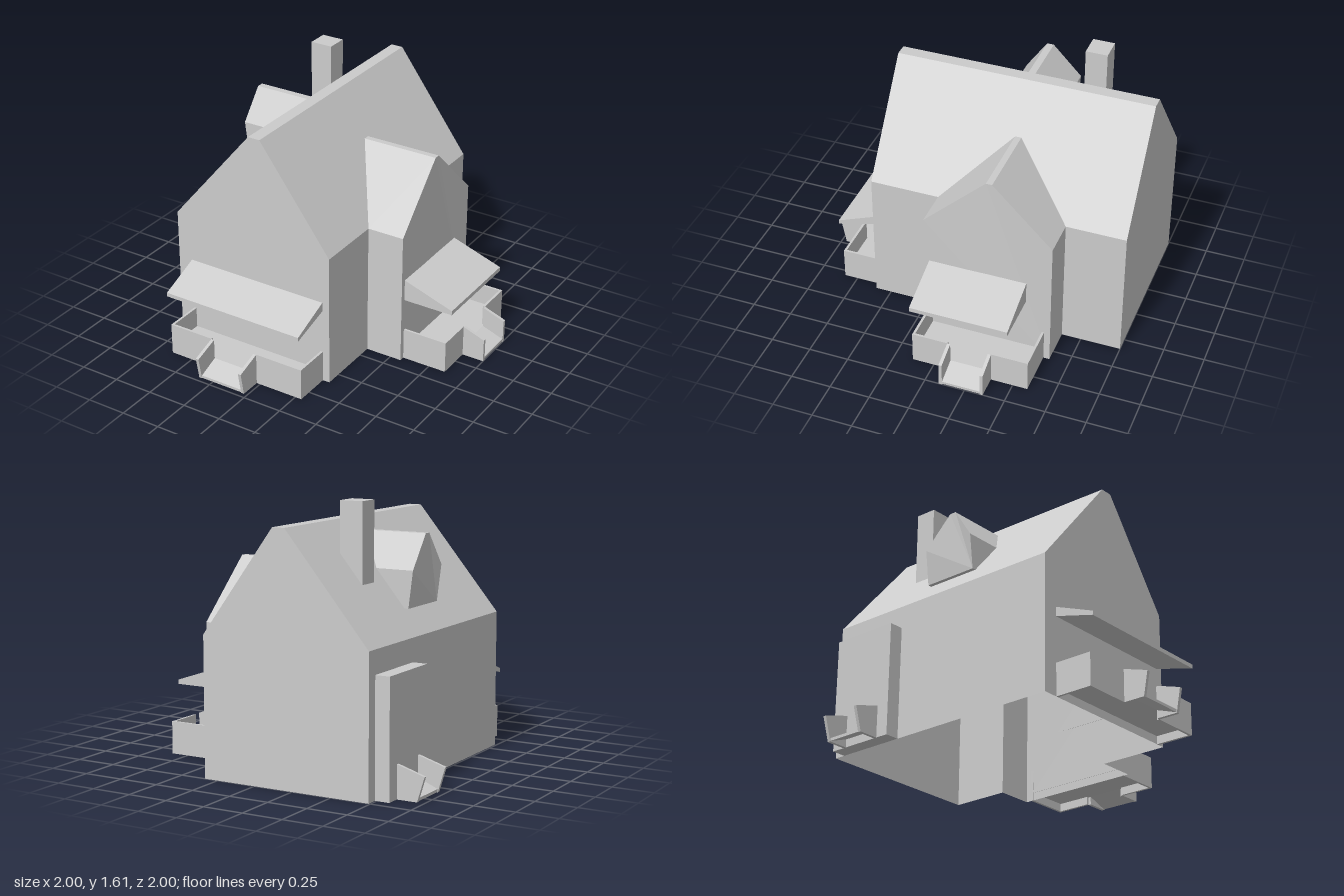
import * as THREE from 'three';

const material = new THREE.MeshStandardMaterial({ color: 0xcccccc, flatShading: true, side: THREE.DoubleSide });

function add(parent, name, geometry) {
  const mesh = new THREE.Mesh(geometry, material);
  mesh.name = name;
  parent.add(mesh);
  return mesh;
}

// Convex flat faces, each a counter-clockwise list of [x, y, z] corners
function faces(polygons) {
  const positions = [];
  for (const p of polygons)
    for (let i = 1; i < p.length - 1; i++) positions.push(...p[0], ...p[i], ...p[i + 1]);
  const geometry = new THREE.BufferGeometry();
  geometry.setAttribute('position', new THREE.Float32BufferAttribute(positions, 3));
  geometry.computeVertexNormals();
  return geometry;
}

// Gabled shell along z; its ends may lean or follow a roof (back and front are functions of y)
function shell(profile, back, front, { openWall = -1, backCap = false, closed = false } = {}) {
  const b = profile.map(([x, y]) => [x, y, back(y)]);
  const f = profile.map(([x, y]) => [x, y, front(y)]);
  const polygons = [f];
  if (backCap) polygons.push([...b].reverse());
  const count = profile.length - (closed ? 0 : 1);
  for (let i = 0; i < count; i++) {
    const j = (i + 1) % profile.length;
    if (i !== openWall) polygons.push([f[i], b[i], b[j], f[j]]);
  }
  return faces(polygons);
}

// Box given by its limits
function box(x0, x1, y0, y1, z0, z1) {
  return new THREE.BoxGeometry(x1 - x0, y1 - y0, z1 - z0)
    .translate((x0 + x1) / 2, (y0 + y1) / 2, (z0 + z1) / 2);
}

// Side profile of [z, y] points, extended from x0 to x1
function slab(profile, x0, x1) {
  const shape = new THREE.Shape(profile.map(([z, y]) => new THREE.Vector2(z, y)));
  return new THREE.ExtrudeGeometry(shape, { depth: x1 - x0, bevelEnabled: false })
    .rotateY(-Math.PI / 2).translate(x1, 0, 0);
}

// Entry ramp between two sloping cheeks, leading out along +z
function addEntry(parent, x0, x1, z0, tipTop, tipBottom, rampEnd) {
  const t = 0.02;
  const cheek = [[z0, 0], [tipBottom, 0], [tipTop, 0.147], [z0, 0.198]];
  add(parent, 'entryCheek', slab(cheek, x0, x0 + t));
  add(parent, 'entryCheek', slab(cheek, x1 - t, x1));
  add(parent, 'entryRamp', slab([[z0, 0.05], [rampEnd, 0.003], [rampEnd, 0.02], [z0, 0.07]], x0 + t, x1 - t));
}

// Low-walled porch with a gap for the entry
function addPorch(parent, x0, x1, z0, z1, gap0, gap1) {
  const t = 0.015, h = 0.2;
  add(parent, 'porchFloor', box(x0 + t, x1 - t, 0.05, 0.07, z0, z1));
  add(parent, 'porchSideWall', box(x0, x0 + t, 0, h, z0, z1));
  add(parent, 'porchSideWall', box(x1 - t, x1, 0, h, z0, z1));
  add(parent, 'porchFrontWall', box(x0 + t, gap0, 0, h, z1 - t, z1));
  add(parent, 'porchFrontWall', box(gap1, x1 - t, 0, h, z1 - t, z1));
}

export function createModel() {
  const model = new THREE.Group();
  model.name = 'house';

  // Groups turned so that their local +z points to the model's left or right
  const leftSide = new THREE.Group();
  leftSide.name = 'leftSide';
  leftSide.rotation.y = Math.PI / 2;
  const rightSide = new THREE.Group();
  rightSide.name = 'rightSide';
  rightSide.rotation.y = -Math.PI / 2;
  model.add(leftSide, rightSide);

  // Main house, open underneath and open into the wing
  const main = [[0.337, 0], [0.337, 0.84], [-0.13, 1.475], [-0.208, 1.475], [-0.74, 0.84], [-0.74, 0]];
  add(model, 'mainHouse', shell(main, () => -1, () => 0.6, { openWall: 0, backCap: true }));
  const wall = (z0, z1) => [[0.337, 0, z1], [0.337, 0, z0], [0.337, 0.84, z0], [0.337, 0.84, z1]];
  add(model, 'mainLeftWalls', faces([wall(-1, -0.63), wall(0.168, 0.6)]));

  // Cross-gabled wing running into the main roof
  const wing = [[0.63, 0], [0.63, 0.84], [0.257, 1.202], [0.219, 1.202], [-0.168, 0.84], [-0.168, 0]];
  add(leftSide, 'wing', shell(wing,
    y => 0.337 - Math.max(0, y - 0.84) * 0.735,
    y => 0.572 - Math.max(0, y - 0.84) * 0.03));

  // Dormer on the other roof slope
  const dormer = [[-0.027, 0.98], [-0.027, 1.2], [-0.16, 1.395], [-0.203, 1.395], [-0.38, 1.2], [-0.38, 0.98]];
  add(rightSide, 'dormer', shell(dormer,
    y => 0.208 + (1.475 - y) * 0.838,
    y => y < 1.2 ? 0.647 : y < 1.3 ? 0.675 : 0.663, { closed: true }));

  // Chimney
  add(model, 'chimney', box(-0.492, -0.348, 1.1, 1.605, -0.637, -0.502));

  // Front porch, entry and canopy
  addPorch(model, -0.645, 0.292, 0.6, 0.835, -0.345, -0.025);
  addEntry(model, -0.347, -0.023, 0.835, 0.995, 0.968, 0.967);
  add(model, 'frontCanopy', slab([[0.6, 0.48], [0.858, 0.41], [0.858, 0.435], [0.6, 0.537]], -0.647, 0.29));

  // Wing porch, entry and canopy
  addPorch(leftSide, -0.135, 0.592, 0.57, 0.86, 0.09, 0.362);
  addEntry(leftSide, 0.088, 0.364, 0.86, 1, 1, 0.998);
  add(leftSide, 'wingCanopy', slab([[0.57, 0.408], [0.893, 0.408], [0.893, 0.435], [0.57, 0.545]], -0.135, 0.475));

  // Side door block with its own entry
  add(model, 'sideDoorBlock', box(-0.83, -0.74, 0, 0.7, -0.93, -0.497));
  addEntry(rightSide, -0.845, -0.578, 0.83, 1, 0.955, 0.955);

  return model;
}
